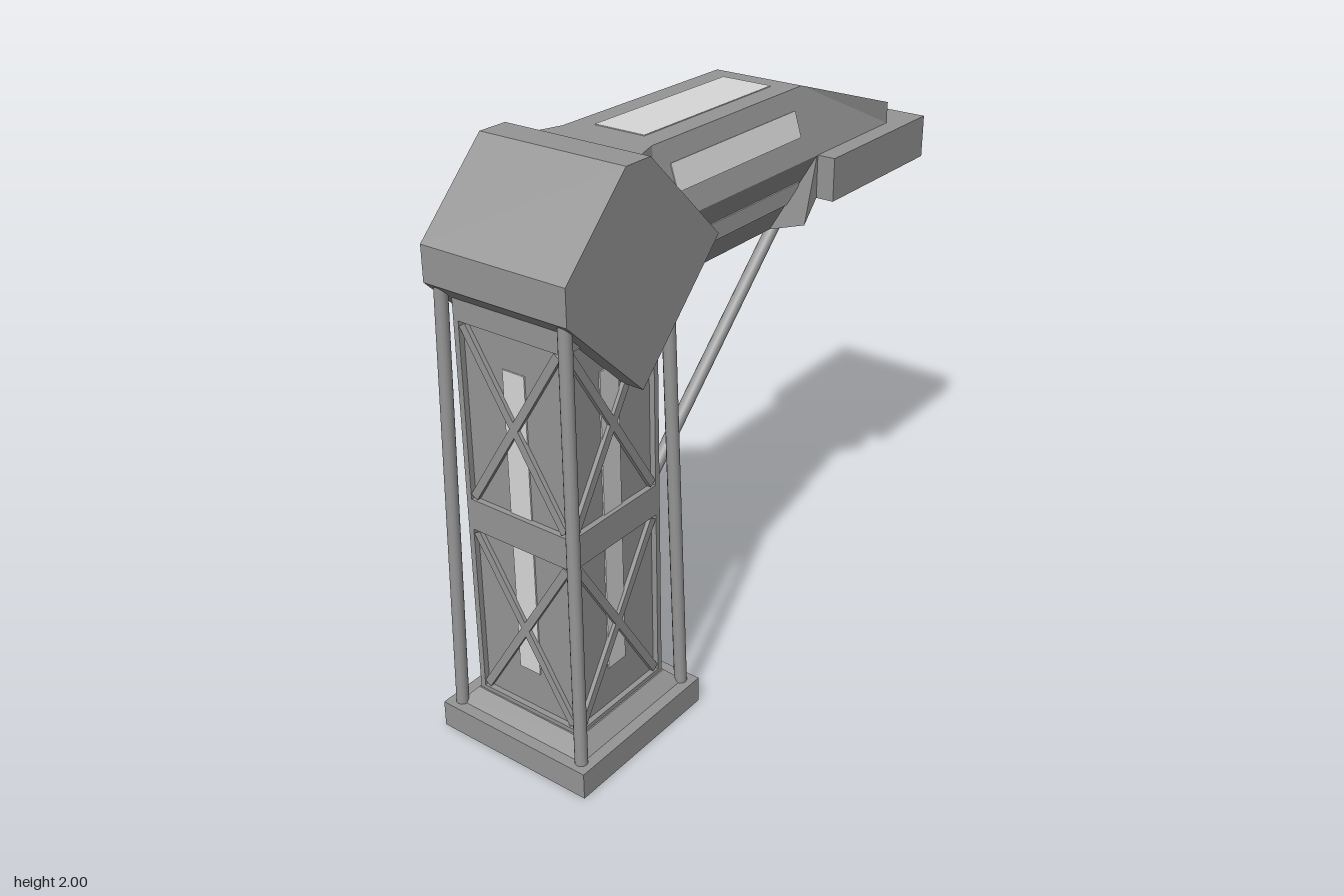
import * as THREE from 'three';

const body = new THREE.MeshStandardMaterial({ color: 0x969696 });
body.name = 'bodyGrey';
const light = new THREE.MeshStandardMaterial({ color: 0xd8d8d8 });
light.name = 'lightPanel';

const CX = -0.685; // column axis

function add(parent, name, geo, mat, x = 0, y = 0, z = 0) {
  const m = new THREE.Mesh(geo, mat);
  m.name = name;
  m.position.set(x, y, z);
  parent.add(m);
  return m;
}

const box = (w, h, d) => new THREE.BoxGeometry(w, h, d);

function rod(parent, name, a, b, r) {
  const p = new THREE.Vector3(...a), q = new THREE.Vector3(...b);
  const dir = q.clone().sub(p);
  const m = add(parent, name, new THREE.CylinderGeometry(r, r, dir.length(), 12), body);
  m.position.copy(p).add(q).multiplyScalar(0.5);
  m.quaternion.setFromUnitVectors(new THREE.Vector3(0, 1, 0), dir.normalize());
}

function rectPath(target, x0, y0, x1, y1) {
  target.moveTo(x0, y0);
  target.lineTo(x1, y0);
  target.lineTo(x1, y1);
  target.lineTo(x0, y1);
  target.closePath();
  return target;
}

const extrude = (shape, depth) => new THREE.ExtrudeGeometry(shape, { depth, bevelEnabled: false });

// Hexagonal arm lofted through sections of [x, y, half width] at top, middle and bottom
function armGeometry(sections) {
  const rings = sections.map((s) => [
    ...s.map(([x, y, z]) => [x, y, z]),
    ...[...s].reverse().map(([x, y, z]) => [x, y, -z]),
  ]);
  const pos = [];
  const tri = (...pts) => pts.forEach((p) => pos.push(...p));
  for (let s = 0; s < rings.length - 1; s++) {
    for (let i = 0; i < 6; i++) {
      const j = (i + 1) % 6;
      const a = rings[s][i], b = rings[s][j], c = rings[s + 1][j], d = rings[s + 1][i];
      if (i < 3) tri(a, b, c, a, c, d);
      else tri(a, b, d, b, c, d);
    }
  }
  const e = rings[rings.length - 1];
  tri(e[0], e[1], e[4], e[0], e[4], e[5], e[1], e[2], e[3], e[1], e[3], e[4]);
  const g = new THREE.BufferGeometry();
  g.setAttribute('position', new THREE.Float32BufferAttribute(pos, 3));
  g.computeVertexNormals();
  return g;
}

function buildColumn() {
  const g = new THREE.Group();
  g.name = 'column';
  g.position.x = CX;
  add(g, 'base', box(0.61, 0.095, 0.61), body, 0, 0.0475);
  const plinth = new THREE.CylinderGeometry(0.22 * Math.SQRT2, 0.265 * Math.SQRT2, 0.05, 4).toNonIndexed();
  plinth.computeVertexNormals();
  add(g, 'plinth', plinth, body, 0, 0.12).rotation.y = Math.PI / 4;
  add(g, 'columnCore', box(0.39, 1.5, 0.39), body, 0, 0.85);

  // Four framed faces with recessed windows, cross braces and a light strip
  const frame = rectPath(new THREE.Shape(), -0.215, 0.14, 0.215, 1.65);
  const windows = [[0.16, 0.77], [0.88, 1.49]];
  for (const [y0, y1] of windows) frame.holes.push(rectPath(new THREE.Path(), -0.195, y0, 0.195, y1));
  const frameGeo = extrude(frame, 0.02);
  for (let k = 0; k < 4; k++) {
    const side = new THREE.Group();
    side.name = 'columnSide';
    side.rotation.y = (k * Math.PI) / 2;
    add(side, 'sideFrame', frameGeo, body, 0, 0, 0.195);
    add(side, 'sideLight', box(0.085, 1.07, 0.006), light, 0, 0.835, 0.197);
    for (const [y0, y1] of windows) {
      const h = y1 - y0;
      for (const s of [-1, 1]) {
        const brace = add(side, 'crossBrace', box(0.028, Math.hypot(0.37, h - 0.02), 0.015), body, 0, (y0 + y1) / 2, 0.2045);
        brace.rotation.z = s * Math.atan2(0.37, h - 0.02);
      }
    }
    g.add(side);
  }

  // Leaning corner poles
  for (const sx of [-1, 1])
    for (const sz of [-1, 1])
      rod(g, 'cornerPole', [sx * 0.262, 0.09, sz * 0.26], [sx * 0.232, 1.64, sz * 0.238], 0.022);
  return g;
}

function buildArm() {
  const g = new THREE.Group();
  g.name = 'arm';
  const top = [0.37, 1.975, 0.17], mid = [0.37, 1.75, 0.24];
  add(g, 'armBody', armGeometry([
    [[-0.65, 1.975, 0.24], [-0.65, 1.75, 0.24], [-0.65, 1.525, 0.17]],
    [[-0.43, 1.975, 0.17], [-0.5, 1.75, 0.24], [-0.45, 1.525, 0.17]],
    [top, mid, [0.2, 1.525, 0.17]],
    [top, mid, [0.3, 1.525, 0.243]],
    [top, mid, [0.375, 1.6, 0.24]],
    [[0.83, 1.825, 0.24], [0.83, 1.75, 0.24], [0.42, 1.74, 0.24]],
  ]), body);

  // Light panels on the top and the four slanted sides
  add(g, 'topLight', box(0.67, 0.006, 0.19), light, -0.035, 1.975, 0);
  const tilt = Math.atan2(0.07, 0.225);
  for (const s of [-1, 1]) {
    add(g, 'upperSideLight', box(0.67, 0.089, 0.006), light, -0.035, 1.867, s * 0.2036).rotation.x = -s * tilt;
    add(g, 'lowerSideLight', box(0.67, 0.079, 0.006), light, -0.035, 1.637, s * 0.2048).rotation.x = s * tilt;
    rod(g, 'strut', [-0.47, 0.815, s * 0.145], [0.3, 1.552, s * 0.145], 0.022);
  }
  return g;
}

function buildPlatform() {
  const g = new THREE.Group();
  g.name = 'platform';
  g.position.x = 0.68;
  const R = 0.305, H = 0.245;
  add(g, 'platformTop', box(2 * R, 0.1, 2 * R), body, 0, 1.7, 0);
  // Rim around the recessed underside
  const rim = rectPath(new THREE.Shape(), -R, -R, R, R);
  rim.holes.push(rectPath(new THREE.Path(), -H, -H, H, H));
  add(g, 'platformRim', extrude(rim, 0.05), body, 0, 1.65, 0).rotation.x = Math.PI / 2;
  // Light lining of the recess walls
  for (let k = 0; k < 4; k++) {
    const a = (k * Math.PI) / 2;
    add(g, 'recessLight', box(2 * H, 0.048, 0.006), light, Math.sin(a) * H, 1.626, Math.cos(a) * H).rotation.y = a;
  }
  return g;
}

export function createModel() {
  const model = new THREE.Group();
  model.name = 'lampPost';
  model.add(buildColumn());

  // Angular head joining column and arm
  const outline = [[-0.95, 1.61], [-0.62, 1.29], [-0.24, 1.67], [-0.57, 2], [-0.68, 2], [-0.95, 1.73]];
  const head = new THREE.Shape(outline.map(([x, y]) => new THREE.Vector2(x, y)));
  add(model, 'head', extrude(head, 0.55), body, 0, 0, -0.275);

  model.add(buildArm(), buildPlatform());
  return model;
}
